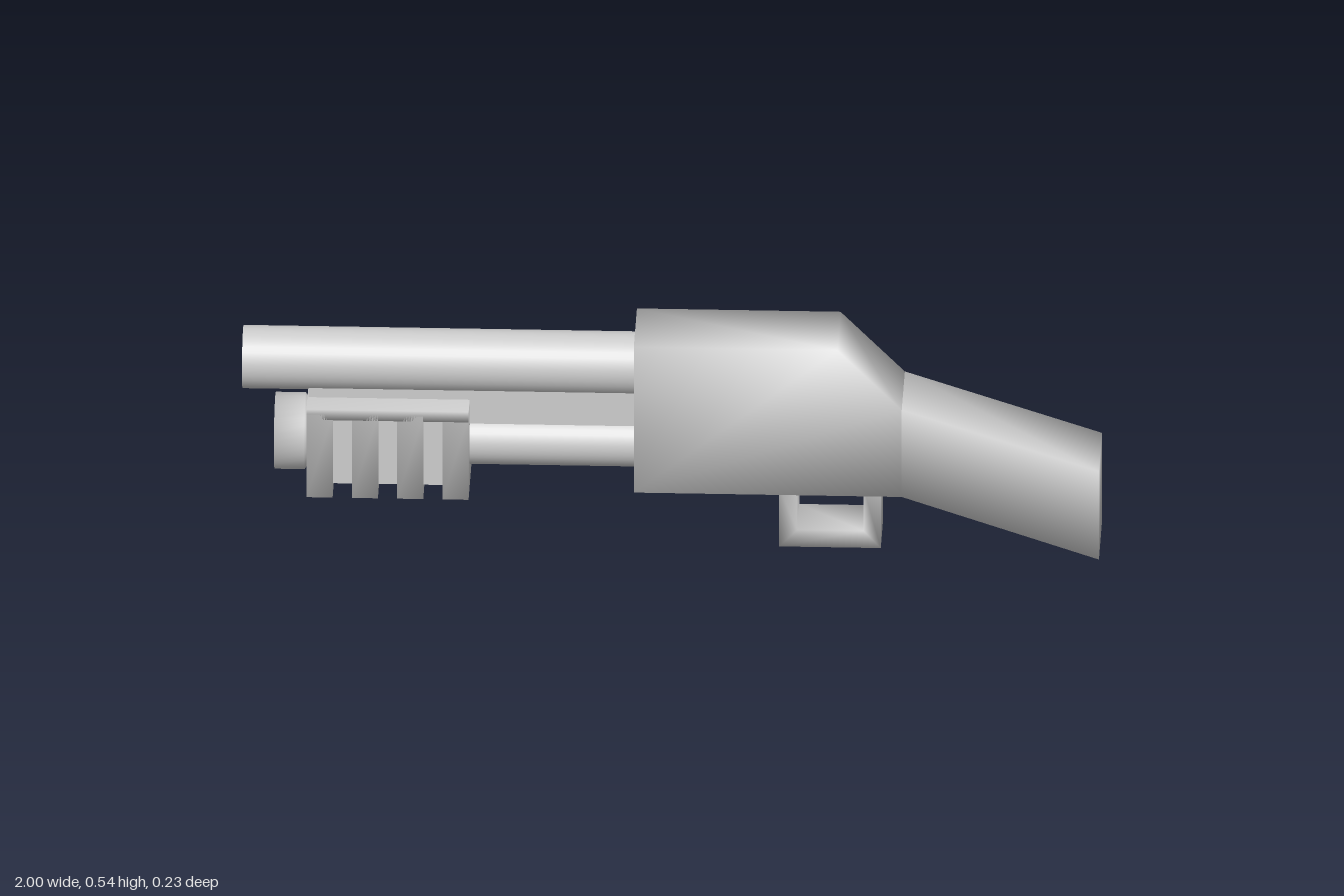
import * as THREE from 'three';
import { mergeVertices } from 'three/addons/utils/BufferGeometryUtils.js';

const grey = new THREE.MeshStandardMaterial({ color: 0xcccccc });

// Share corners so that normals blend softly across edges
function soften(geometry) {
  geometry.deleteAttribute('normal');
  geometry.deleteAttribute('uv');
  const merged = mergeVertices(geometry, 1e-4);
  merged.computeVertexNormals();
  return merged;
}

// Side profile in x, y extruded evenly to both sides of z = 0
function slab(points, halfWidth) {
  const shape = new THREE.Shape(points.map(([x, y]) => new THREE.Vector2(x, y)));
  const geometry = new THREE.ExtrudeGeometry(shape, { depth: halfWidth * 2, bevelEnabled: false });
  geometry.translate(0, 0, -halfWidth);
  return soften(geometry);
}

// Box given by its x and y ranges and its half width in z
function box(x0, x1, y0, y1, halfWidth) {
  return new THREE.BoxGeometry(x1 - x0, y1 - y0, halfWidth * 2)
    .translate((x0 + x1) / 2, (y0 + y1) / 2, 0);
}

// Turned part along x; profile pairs are [x, radius]
function turned(profile, y) {
  const points = profile.map(([x, r]) => new THREE.Vector2(r, -x));
  return new THREE.LatheGeometry(points, 32).rotateZ(Math.PI / 2).translate(0, y, 0);
}

export function createModel() {
  const model = new THREE.Group();
  const add = (name, geometry, parent = model, material = grey) => {
    const mesh = new THREE.Mesh(geometry, material);
    mesh.name = name;
    parent.add(mesh);
    return mesh;
  };

  // Receiver and stock
  add('receiver', slab([[-0.085, 0.155], [0.54, 0.155], [0.54, 0.382], [0.39, 0.535], [-0.085, 0.535]], 0.1));
  add('stock', slab([[0.54, 0.155], [1, 0], [1, 0.23], [0.54, 0.382]], 0.1));
  add('ejectionPort', box(-0.033, 0.275, 0.373, 0.483, 0.002).translate(0, 0, -0.0995));

  // Trigger guard, a square U
  add('triggerGuard', slab([
    [0.253, 0.16], [0.253, 0.004], [0.49, 0.004], [0.49, 0.16],
    [0.45, 0.16], [0.45, 0.048], [0.295, 0.048], [0.295, 0.16],
  ], 0.067));

  // Barrel with a hollow muzzle
  const doubleSided = grey.clone();
  doubleSided.side = THREE.DoubleSide;
  const barrel = new THREE.Group();
  barrel.name = 'barrel';
  model.add(barrel);
  add('barrelWall', turned([[-0.07, 0.074], [-1, 0.074]], 0.443), barrel, doubleSided);
  add('muzzleRim', turned([[-1, 0.074], [-1, 0.063]], 0.443), barrel, doubleSided);
  add('bore', turned([[-1, 0.063], [-0.85, 0.063]], 0.443), barrel, doubleSided);
  add('boreEnd', turned([[-0.85, 0.063], [-0.85, 0]], 0.443), barrel, doubleSided);

  // Magazine tube, its end cap and the rib joining it to the barrel
  add('magazineTube', turned([[-0.07, 0.063], [-0.86, 0.063]], 0.243), model, doubleSided);
  add('magazineCap', turned([[-0.84, 0.063], [-0.855, 0.09], [-0.925, 0.09], [-0.925, 0]], 0.252), model, doubleSided);
  add('barrelRib', box(-0.845, -0.08, 0.303, 0.41, 0.05));

  // Sliding foregrip: core, top rail and four wrap-around ridges
  const grip = new THREE.Group();
  grip.name = 'foregrip';
  model.add(grip);
  add('gripCore', box(-0.84, -0.475, 0.16, 0.355, 0.087), grip);
  add('gripTopRail', soften(box(-0.848, -0.47, 0.338, 0.365, 0.114)), grip);
  for (let i = 0; i < 4; i++) {
    const x = -0.848 + i * 0.1057;
    add('gripRidge', soften(box(x, x + 0.061, 0.136, 0.352, 0.114)), grip);
  }

  return model;
}
